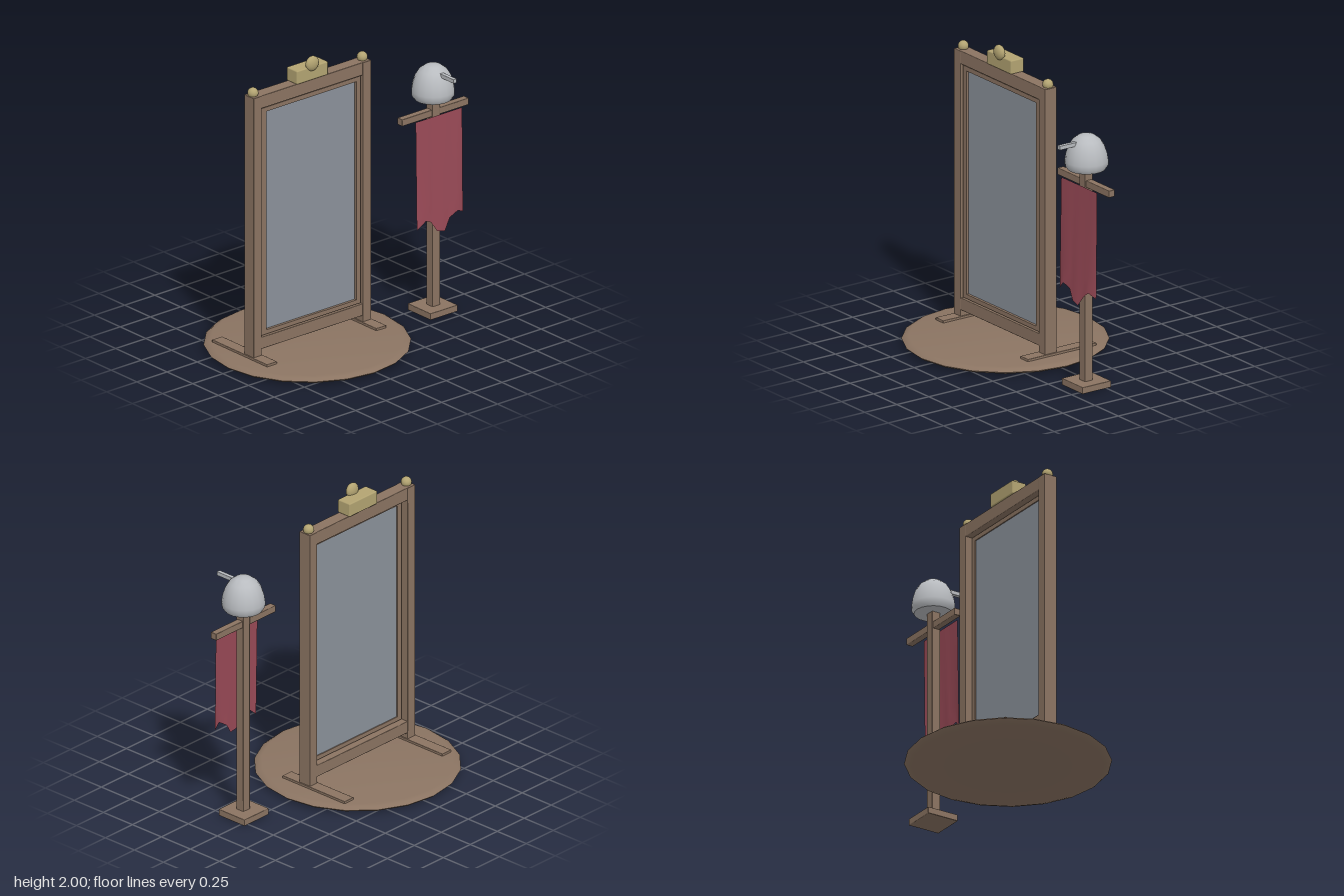
import * as THREE from 'three';
import { RoundedBoxGeometry } from 'three/addons/geometries/RoundedBoxGeometry.js';
import { toCreasedNormals } from 'three/addons/utils/BufferGeometryUtils.js';

const material = (name, color, side = THREE.FrontSide) => {
  const m = new THREE.MeshStandardMaterial({ color, side });
  m.name = name;
  return m;
};

export function createModel() {
  const wood = material('wood', 0x8b7462);
  const brass = material('brass', 0xb3a472);
  const glass = material('mirror glass', 0x8b929b);
  const steel = material('steel', 0xb9bcc0);
  const cloth = material('red cloth', 0x9a4a57, THREE.DoubleSide);

  const model = new THREE.Group();
  model.name = 'mirrorAndBannerStand';
  const mirror = new THREE.Group();
  mirror.name = 'standingMirror';
  const stand = new THREE.Group();
  stand.name = 'bannerStand';
  model.add(mirror, stand);

  const add = (parent, name, geometry, mat, x = 0, y = 0, z = 0) => {
    const mesh = new THREE.Mesh(geometry, mat);
    mesh.name = name;
    mesh.position.set(x, y, z);
    parent.add(mesh);
    return mesh;
  };
  // Slightly bevelled box given by its limits on each axis
  const block = (parent, name, mat, [x0, x1], [y0, y1], [z0, z1], bevel = 0.005) =>
    add(parent, name, new RoundedBoxGeometry(x1 - x0, y1 - y0, z1 - z0, 1, bevel), mat,
      (x0 + x1) / 2, (y0 + y1) / 2, (z0 + z1) / 2);
  const lathe = (points, sides) =>
    new THREE.LatheGeometry(points.map(([r, y]) => new THREE.Vector2(r, y)), sides);

  // Round platform
  const disc = lathe([[0, 0], [0.61, 0.004], [0.645, 0.016], [0.657, 0.028], [0.635, 0.044], [0.61, 0.049], [0, 0.05]], 20);
  add(mirror, 'platform', toCreasedNormals(disc, 0.6), wood, -0.3, 0, 0);

  // Feet, posts and finials, mirrored about the mirror's centre line
  for (const s of [-1, 1]) {
    const cx = -0.298 + s * 0.453;
    block(mirror, 'foot', wood, [cx - 0.042, cx + 0.042], [0.035, 0.065], [-0.35, 0.187]);
    block(mirror, 'post', wood, [cx - 0.035, cx + 0.035], [0.05, 1.84], [-0.045, 0.048]);
    add(mirror, 'finial', new THREE.SphereGeometry(0.035, 16, 12), brass, cx, 1.857, 0);
  }
  block(mirror, 'topRail', wood, [-0.78, 0.185], [1.752, 1.84], [-0.043, 0.045]);
  block(mirror, 'bottomRail', wood, [-0.73, 0.135], [0.105, 0.187], [-0.043, 0.045]);

  // Inner trim and glass
  const rect = (Type, x0, x1, y0, y1) => {
    const p = new Type();
    p.moveTo(x0, y0);
    p.lineTo(x1, y0);
    p.lineTo(x1, y1);
    p.lineTo(x0, y1);
    p.closePath();
    return p;
  };
  const trim = rect(THREE.Shape, -0.708, 0.112, 0.193, 1.747);
  trim.holes.push(rect(THREE.Path, -0.67, 0.077, 0.222, 1.717));
  add(mirror, 'innerTrim', new THREE.ExtrudeGeometry(trim, { depth: 0.035, bevelEnabled: false }), wood);
  add(mirror, 'glass', new THREE.BoxGeometry(0.79, 1.53, 0.01), glass, -0.297, 0.97, 0.012);

  // Crest with flattened knob
  block(mirror, 'crest', brass, [-0.43, -0.17], [1.838, 1.93], [-0.052, 0.052], 0.008);
  add(mirror, 'crestKnob', new THREE.SphereGeometry(0.05, 18, 12), brass, -0.3, 1.95, 0.047).scale.z = 0.57;

  // Banner stand
  block(stand, 'standBase', wood, [0.56, 0.786], [0, 0.045], [-0.035, 0.19]);
  block(stand, 'standPole', wood, [0.643, 0.706], [0.03, 1.5], [0.05, 0.112]);
  block(stand, 'crossbar', wood, [0.398, 0.95], [1.343, 1.39], [0.056, 0.104]);

  // Helmet with peg
  const dome = lathe([[0, 1.46], [0.122, 1.46], [0.138, 1.485], [0.139, 1.515], [0.132, 1.56],
    [0.116, 1.61], [0.09, 1.652], [0.05, 1.682], [0, 1.692]], 18);
  add(stand, 'helmet', toCreasedNormals(dome, 0.9), steel, 0.675, 0, 0.078);
  block(stand, 'helmetPeg', steel, [0.661, 0.688], [1.627, 1.654], [0.15, 0.295], 0.002);

  // Banner: columns of [x, bottom y, forward fold at the hem]
  const columns = [[0.483, 0.62, 0.012], [0.545, 0.675, 0.03], [0.595, 0.65, 0.018], [0.64, 0.58, 0.026],
    [0.7, 0.565, 0.03], [0.752, 0.64, 0.016], [0.81, 0.677, 0.028], [0.868, 0.648, 0.008]];
  const rows = 6;
  const banner = new THREE.PlaneGeometry(1, 1, columns.length - 1, rows);
  const pos = banner.attributes.position;
  for (let i = 0; i < pos.count; i++) {
    const [x, hem, fold] = columns[i % columns.length];
    const t = Math.floor(i / columns.length) / rows;
    pos.setXYZ(i, x, THREE.MathUtils.lerp(1.358, hem, t), 0.135 + fold * t);
  }
  banner.computeVertexNormals();
  add(stand, 'banner', banner, cloth);

  return model;
}
